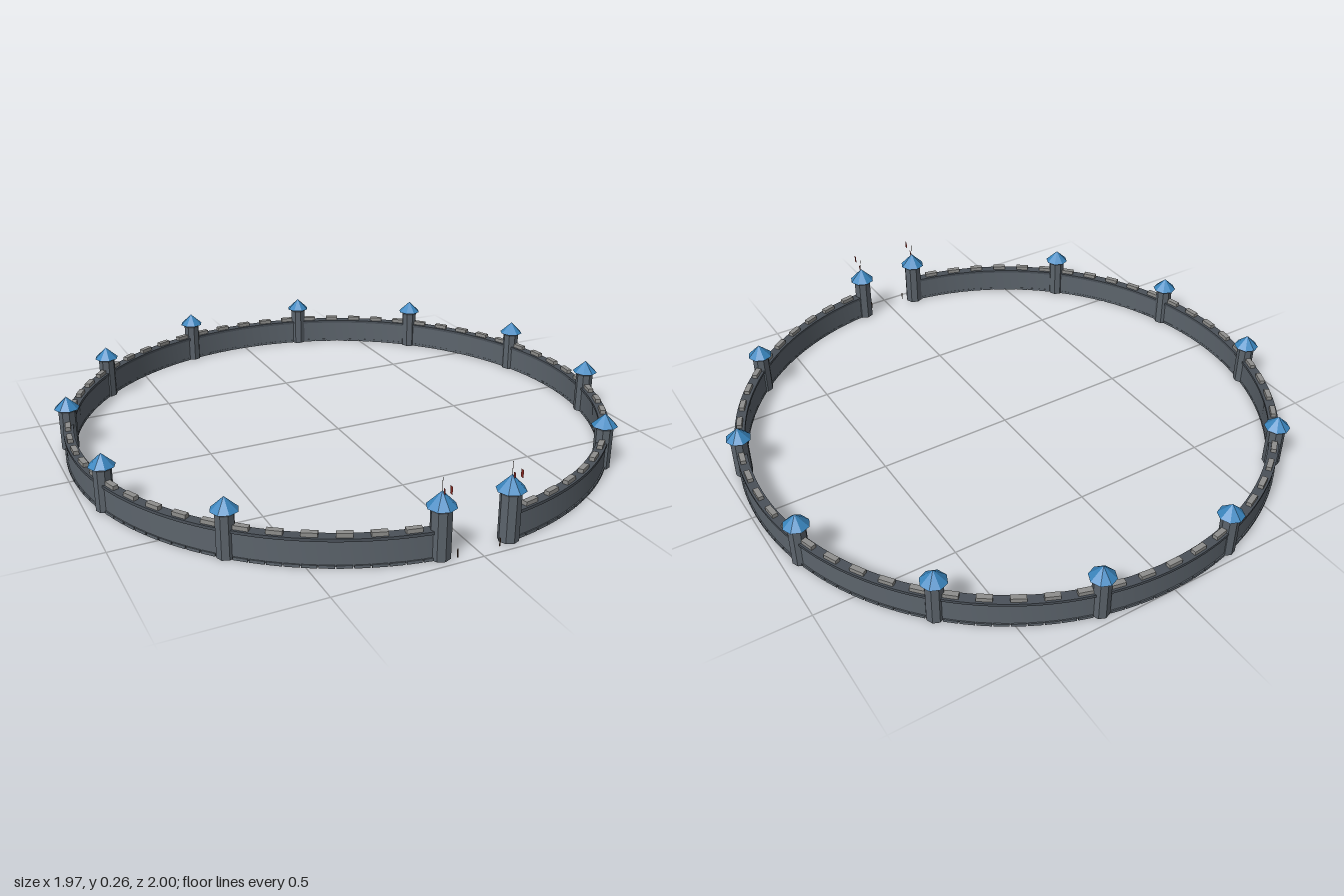
import * as THREE from 'three';
import { toCreasedNormals } from 'three/addons/utils/BufferGeometryUtils.js';

const CENTRE_Z = -0.015; // ring centre, the banners push the front edge out
const R = 0.968; // middle of the wall
const GATE = THREE.MathUtils.degToRad(7.1); // half of the gate opening
const rad = THREE.MathUtils.degToRad;

const paint = (color, extra = {}) => new THREE.MeshStandardMaterial({ color, ...extra });
const stone = paint(0x5c646c);
const towerStone = paint(0x5c646c, { flatShading: true });
const darkStone = paint(0x4a5159);
const merlonStone = paint(0x8f8f8d);
const roofBlue = paint(0x3a86bf, { flatShading: true });
const wood = paint(0x4a3526);
const red = paint(0x8a2a22, { side: THREE.DoubleSide });

function add(parent, name, geometry, material, x = 0, y = 0, z = 0) {
  const mesh = new THREE.Mesh(geometry, material);
  mesh.name = name;
  mesh.position.set(x, y, z);
  parent.add(mesh);
  return mesh;
}

// Rectangular band swept round the ring, leaving the gate open
function band(r0, r1, y0, y1) {
  const profile = [[r0, y0], [r1, y0], [r1, y1], [r0, y1], [r0, y0]].map(p => new THREE.Vector2(...p));
  const lathe = new THREE.LatheGeometry(profile, 160, GATE, Math.PI * 2 - GATE * 2);
  return toCreasedNormals(lathe, rad(40));
}

// Equal blocks set round the ring at the given angles
function blocks(parent, name, geometry, material, angles, y) {
  const group = new THREE.Group();
  group.name = name;
  for (const a of angles) {
    add(group, 'block', geometry, material, Math.sin(a) * R, y, Math.cos(a) * R).rotation.y = a;
  }
  parent.add(group);
}

// Octagonal tower with a pointed roof
function tower(parent, name, angle, radius, eaves, tip, roofRadius) {
  const group = new THREE.Group();
  group.name = name;
  group.position.set(Math.sin(angle) * R, 0, Math.cos(angle) * R);
  const body = new THREE.CylinderGeometry(radius, radius, eaves, 8);
  add(group, 'towerBody', body, towerStone, 0, eaves / 2);
  const collar = new THREE.CylinderGeometry(radius + 0.005, radius, 0.012, 8);
  add(group, 'towerCollar', collar, towerStone, 0, eaves - 0.006);
  const roof = new THREE.ConeGeometry(roofRadius, tip - eaves, 8);
  add(group, 'towerRoof', roof, roofBlue, 0, (eaves + tip) / 2);
  parent.add(group);
  return group;
}

export function createModel() {
  const model = new THREE.Group();
  model.name = 'ringWall';
  const ring = new THREE.Group();
  ring.name = 'ring';
  ring.position.z = CENTRE_Z;
  model.add(ring);

  // Curtain wall with its walkway cap
  add(ring, 'wall', band(0.952, 0.981, 0.004, 0.09), stone);
  add(ring, 'wallCap', band(0.949, 0.985, 0.088, 0.098), darkStone);

  // Footing stones
  const footing = [];
  for (let a = 9; a < 352; a += 3) footing.push(rad(a));
  blocks(ring, 'footing', new THREE.BoxGeometry(0.047, 0.01, 0.034), stone, footing, 0.005);

  // Battlements
  const merlons = [];
  for (let a = 12; a < 350; a += 6) merlons.push(rad(a));
  blocks(ring, 'battlements', new THREE.BoxGeometry(0.05, 0.02, 0.019), merlonStone, merlons, 0.102);

  // Wall towers, every 30 degrees
  for (let a = 45; a <= 315; a += 30) tower(ring, 'wallTower', rad(a), 0.031, 0.155, 0.198, 0.045);

  // Taller gate towers with banners and gate posts
  const flag = new THREE.PlaneGeometry(0.013, 0.026);
  flag.rotateY(Math.PI / 2);
  const pole = new THREE.CylinderGeometry(0.0008, 0.0008, 0.045, 5);
  for (const side of [-1, 1]) {
    const gate = tower(ring, 'gateTower', side * GATE, 0.034, 0.17, 0.22, 0.048);
    add(gate, 'roofPole', pole, wood, 0, 0.24, 0);
    add(gate, 'upperBanner', flag, red, 0, 0.244, 0.048);
    const small = add(gate, 'lowerBanner', flag, red, 0, 0.222, 0.012);
    small.scale.set(1, 0.7, 0.7);
    add(gate, 'gatePost', new THREE.BoxGeometry(0.003, 0.028, 0.003), wood, -side * 0.046, 0.014, 0.025);
  }
  return model;
}
